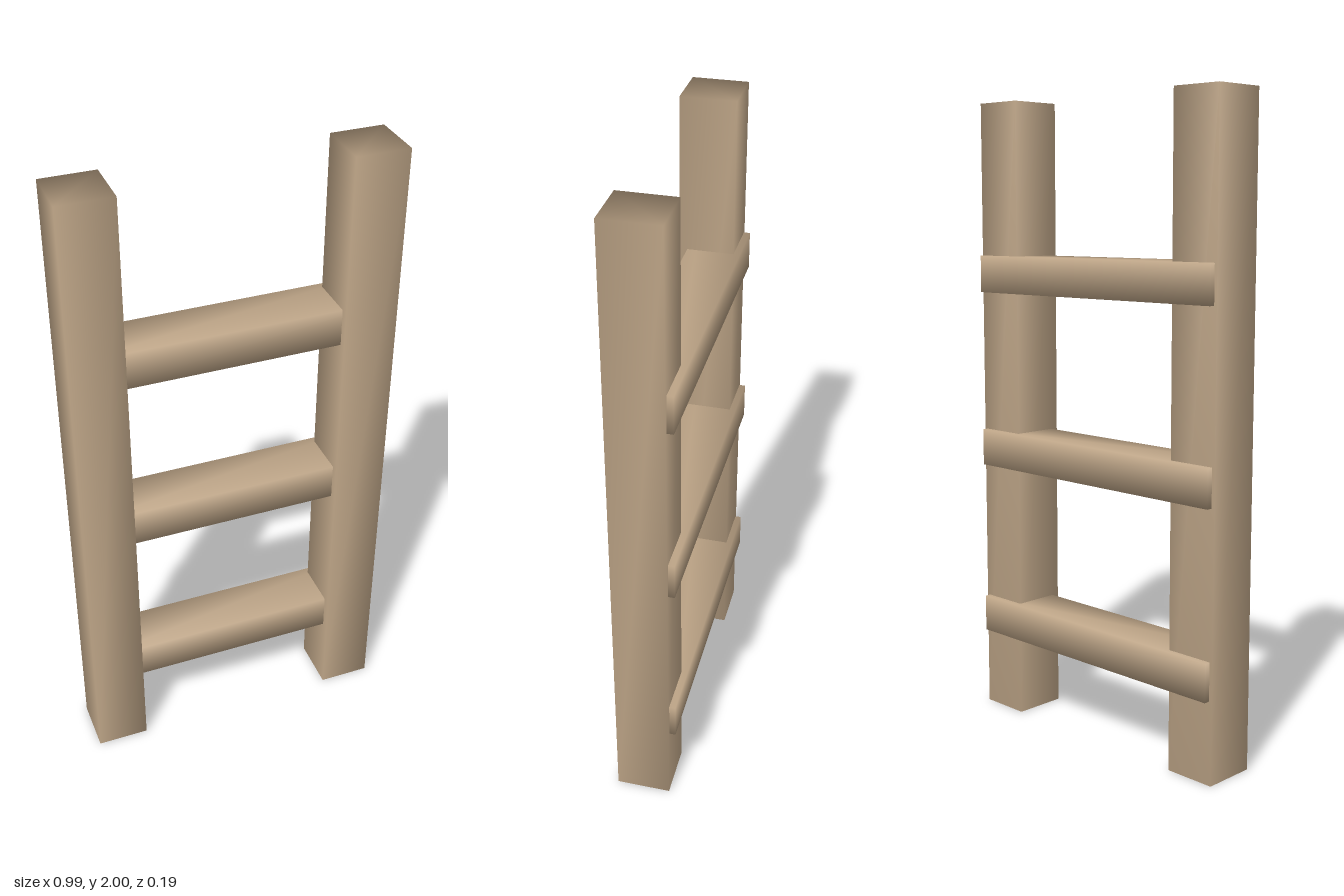
import * as THREE from 'three';
import { mergeVertices } from 'three/addons/utils/BufferGeometryUtils.js';

// Box with shared corners, so its normals are smooth across the edges
function softBox(width, height, depth) {
  const box = new THREE.BoxGeometry(width, height, depth);
  box.deleteAttribute('normal');
  box.deleteAttribute('uv');
  const geometry = mergeVertices(box);
  geometry.computeVertexNormals();
  return geometry;
}

export function createModel() {
  const ladder = new THREE.Group();
  ladder.name = 'ladder';
  const wood = new THREE.MeshStandardMaterial({ color: 0xbfa688 });
  wood.name = 'wood';

  const addPart = (name, geometry, x, y, z) => {
    const mesh = new THREE.Mesh(geometry, wood);
    mesh.name = name;
    mesh.position.set(x, y, z);
    ladder.add(mesh);
  };

  // Upright posts
  const postGeometry = softBox(0.165, 2, 0.17);
  addPart('leftPost', postGeometry, 0.414, 1, 0.008);
  addPart('rightPost', postGeometry, -0.414, 1, 0.008);

  // Rungs, set slightly proud of the back of the posts
  const rungGeometry = softBox(0.972, 0.118, 0.165);
  [0.317, 0.888, 1.459].forEach((y, i) => {
    addPart(`rung${i + 1}`, rungGeometry, -0.001, y, -0.014);
  });

  return ladder;
}
